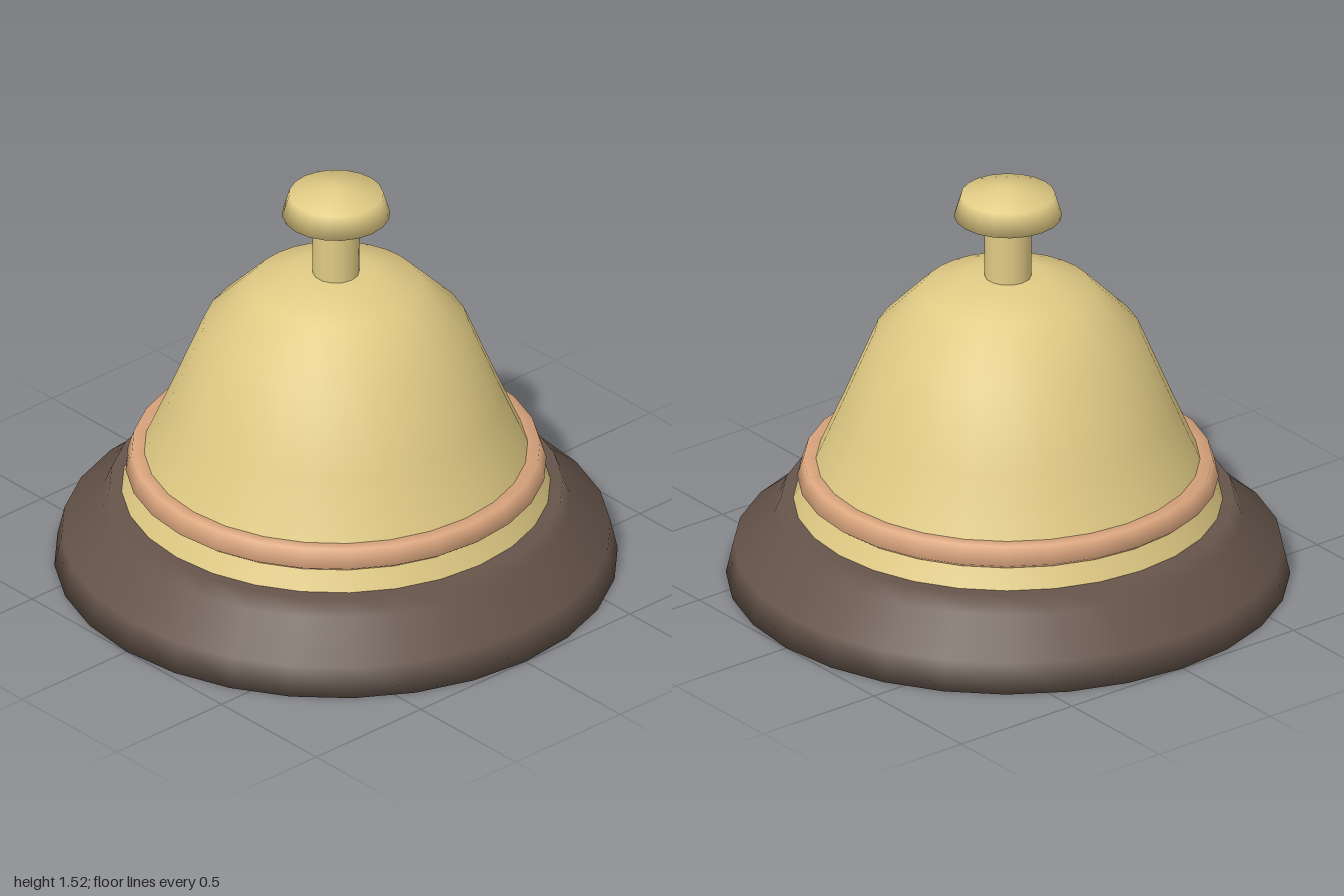
import * as THREE from 'three';

const flat = (name, color) => {
  const m = new THREE.MeshStandardMaterial({ color });
  m.name = name;
  return m;
};

// Turned part from [radius, height] pairs, listed bottom to top
function turned(name, profile, sides, material) {
  const points = profile.map(([r, y]) => new THREE.Vector2(r, y));
  const mesh = new THREE.Mesh(new THREE.LatheGeometry(points, sides), material);
  mesh.name = name;
  return mesh;
}

export function createModel() {
  const brass = flat('brass', 0xe0ca84);
  const copper = flat('copper', 0xdea880);
  const darkWood = flat('dark wood', 0x65544a);

  const bell = new THREE.Group();
  bell.name = 'deskBell';

  // Stepped wooden foot
  bell.add(turned('base', [
    [0, 0], [1, 0], [0.975, 0.11], [0.83, 0.23], [0.805, 0.293], [0, 0.293],
  ], 28, darkWood));

  // Flared bell with a flat crown
  bell.add(turned('dome', [
    [0.765, 0.285], [0.68, 0.45], [0.59, 0.66], [0.472, 0.945],
    [0.305, 1.115], [0.14, 1.168], [0, 1.168],
  ], 28, brass));

  // Band around the bell, pentagonal in section
  const bandGeometry = new THREE.TorusGeometry(0.69, 0.06, 5, 28);
  bandGeometry.rotateX(-Math.PI / 2);
  // Turn the section so that its flat side is on top
  const band = turned('band', Array.from({ length: 6 }, (_, i) => {
    const a = -Math.PI / 2 + (i * Math.PI * 2) / 5;
    return [0.69 + 0.06 * Math.cos(a), 0.4 + 0.06 * Math.sin(a)];
  }), 28, copper);
  bandGeometry.dispose();
  bell.add(band);

  // Plunger: stem and button
  bell.add(turned('stem', [[0.083, 1.15], [0.083, 1.385]], 14, brass));
  bell.add(turned('button', [
    [0, 1.37], [0.083, 1.37], [0.192, 1.405], [0.167, 1.488], [0.03, 1.517], [0, 1.517],
  ], 20, brass));

  return bell;
}
